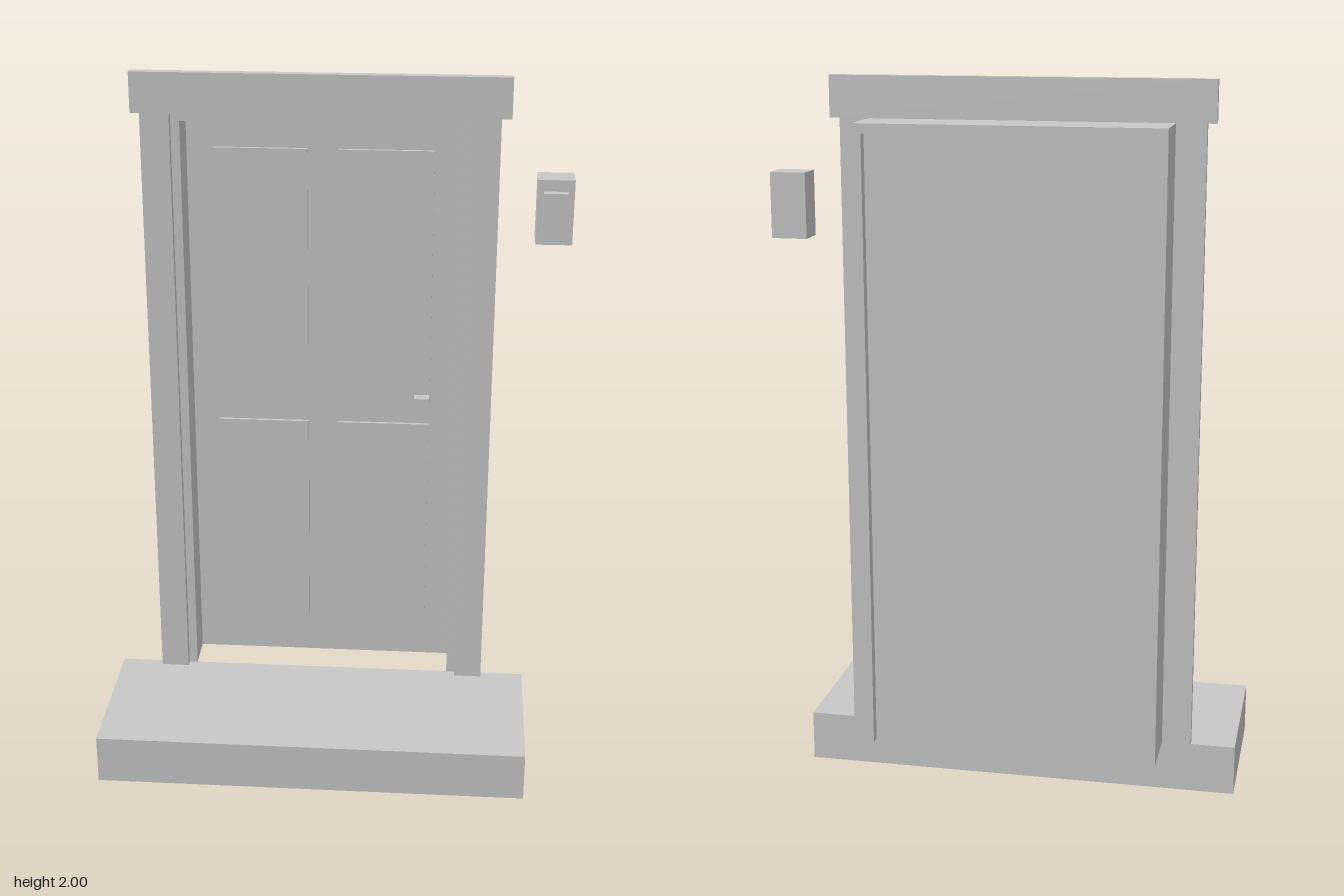
import * as THREE from 'three';

export function createModel() {
  const model = new THREE.Group();
  model.name = 'doorway';

  const grey = new THREE.MeshStandardMaterial({ color: 0xc8c8c8 });
  grey.name = 'light grey';

  // Box given by its extents along each axis
  function block(name, [x0, x1], [y0, y1], [z0, z1], parent = model) {
    const mesh = new THREE.Mesh(new THREE.BoxGeometry(x1 - x0, y1 - y0, z1 - z0), grey);
    mesh.position.set((x0 + x1) / 2, (y0 + y1) / 2, (z0 + z1) / 2);
    mesh.name = name;
    parent.add(mesh);
    return mesh;
  }

  const floor = 0.143;
  const head = 1.886;

  // Doorstep
  block('step', [-0.66, 0.584], [0, floor], [-0.145, 0.31]);

  // Flat trim around the opening
  block('leftCasing', [0.376, 0.457], [floor, head], [-0.145, -0.122]);
  block('rightCasing', [-0.535, -0.453], [floor, head], [-0.145, -0.122]);
  block('lintel', [-0.56, 0.485], [head, 2], [-0.145, -0.118]);

  // Deep door frame, open at the bottom
  const opening = new THREE.Shape();
  [[-0.453, floor], [-0.428, floor], [-0.428, 1.86], [0.351, 1.86],
    [0.351, floor], [0.376, floor], [0.376, head], [-0.453, head]]
    .forEach(([x, y], i) => (i ? opening.lineTo(x, y) : opening.moveTo(x, y)));
  opening.closePath();
  const frame = new THREE.Mesh(
    new THREE.ExtrudeGeometry(opening, { depth: 0.165, bevelEnabled: false }), grey);
  frame.position.z = -0.31;
  frame.name = 'frame';
  model.add(frame);

  // Door leaf with four raised panels and a square knob
  const door = new THREE.Group();
  door.name = 'door';
  model.add(door);
  block('leaf', [-0.428, 0.351], [floor, 1.86], [-0.282, -0.256], door);
  for (const x of [[-0.354, -0.083], [0.005, 0.277]]) {
    block('lowerPanel', x, [0.268, 0.931], [-0.256, -0.246], door);
    block('upperPanel', x, [1.058, 1.763], [-0.256, -0.246], door);
  }
  block('knob', [0.232, 0.277], [0.974, 1.022], [-0.256, -0.222], door);

  // Wall lamp beside the door
  const lamp = new THREE.Group();
  lamp.name = 'wallLamp';
  model.add(lamp);
  block('lampBody', [0.56, 0.66], [1.554, 1.736], [-0.145, -0.063], lamp);
  block('lampFront', [0.576, 0.643], [1.586, 1.704], [-0.063, -0.039], lamp);

  return model;
}
